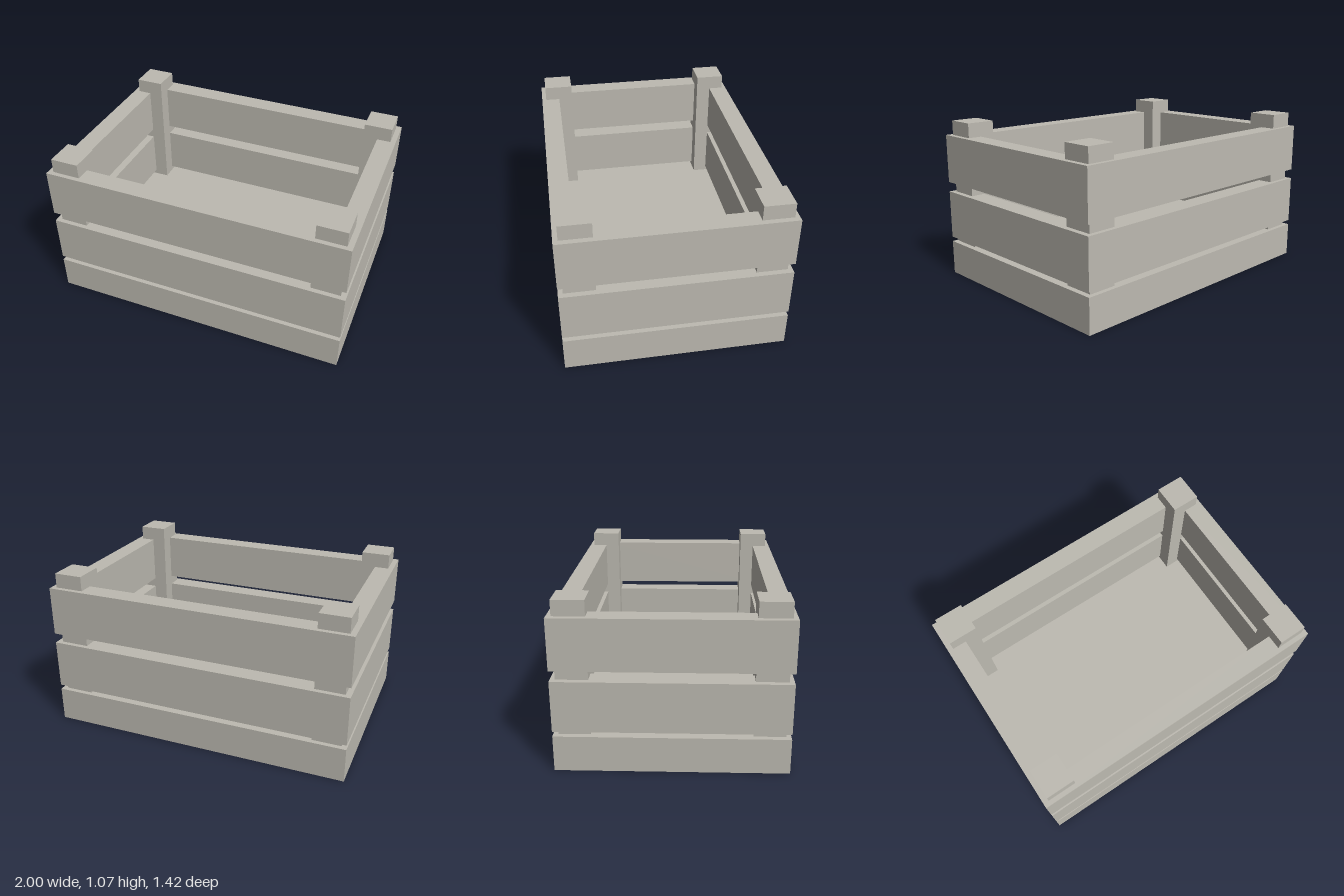
import * as THREE from 'three';

export function createModel() {
  const crate = new THREE.Group();
  crate.name = 'crate';
  const wood = new THREE.MeshStandardMaterial({ color: 0xbdbab1 });
  wood.name = 'pale grey wood';

  const add = (name, geometry, x, y, z) => {
    const mesh = new THREE.Mesh(geometry, wood);
    mesh.name = name;
    mesh.position.set(x, y, z);
    crate.add(mesh);
  };

  // Solid base
  const baseTop = 0.228;
  add('base', new THREE.BoxGeometry(2, baseTop, 1.416), 0, baseTop / 2, 0);

  // Two rectangular slat rings
  const rectangle = (path, x, z) =>
    path.moveTo(-x, -z).lineTo(x, -z).lineTo(x, z).lineTo(-x, z).closePath();
  const outline = rectangle(new THREE.Shape(), 1, 0.708);
  outline.holes.push(rectangle(new THREE.Path(), 0.873, 0.581));
  const ring = new THREE.ExtrudeGeometry(outline, { depth: 0.322, bevelEnabled: false });
  ring.rotateX(-Math.PI / 2);
  add('lowerSlatRing', ring, 0, 0.26, 0);
  add('upperSlatRing', ring, 0, 0.648, 0);

  // Corner posts rising above the slats
  const postBottom = 0.1, postTop = 1.066;
  const post = new THREE.BoxGeometry(0.188, postTop - postBottom, 0.194);
  for (const x of [-1, 1]) {
    for (const z of [-1, 1]) {
      const name = (z > 0 ? 'front' : 'back') + (x > 0 ? 'Left' : 'Right') + 'Post';
      add(name, post, x * 0.871, (postBottom + postTop) / 2, z * 0.581);
    }
  }
  return crate;
}
